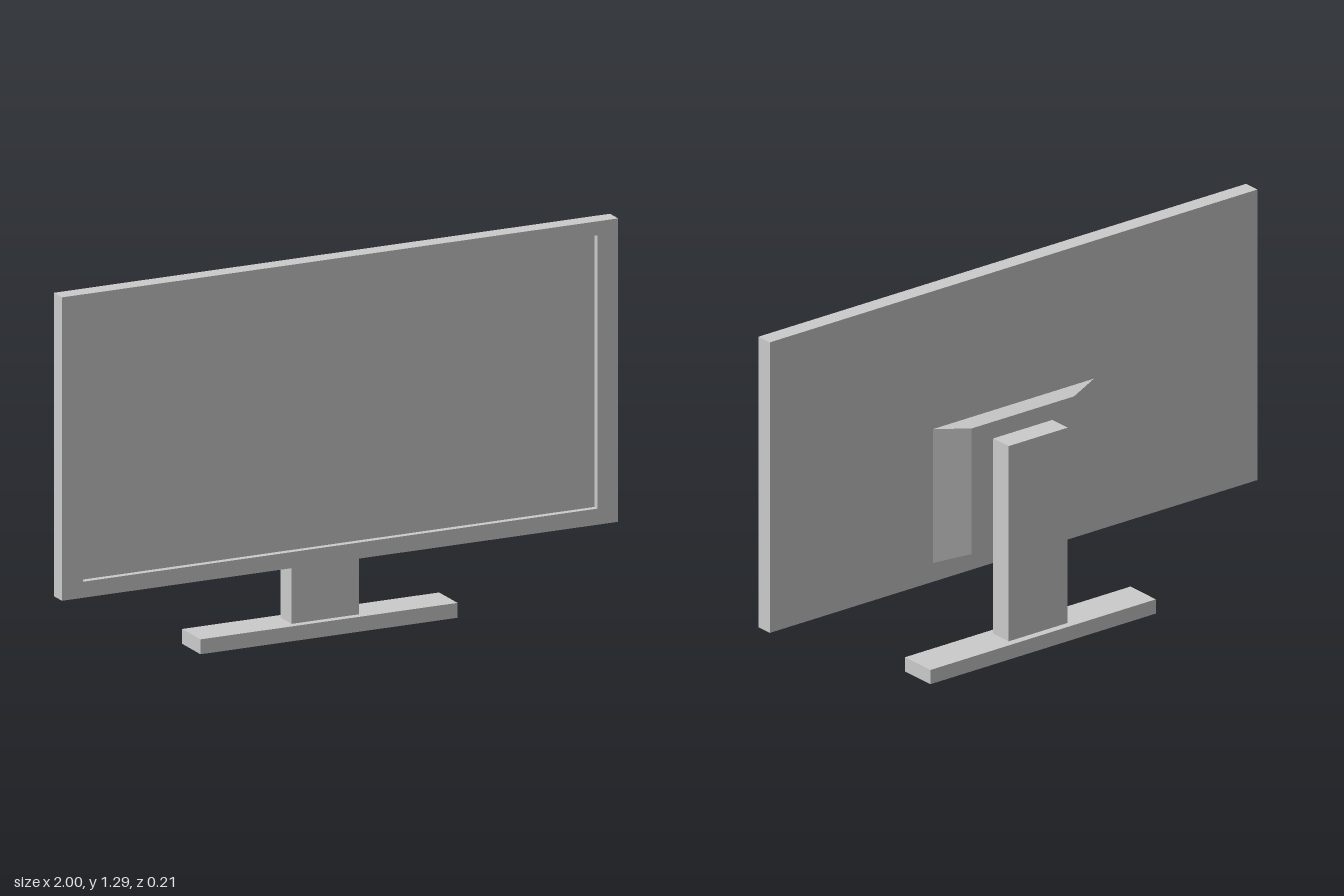
import * as THREE from 'three';

const material = new THREE.MeshStandardMaterial({ color: 0xcccccc, flatShading: true });

function addMesh(group, name, geometry) {
  const mesh = new THREE.Mesh(geometry, material);
  mesh.name = name;
  group.add(mesh);
}

// Box centred on x, given its width and its y and z ranges
function block(width, y0, y1, z0, z1) {
  return new THREE.BoxGeometry(width, y1 - y0, z1 - z0)
    .translate(0, (y0 + y1) / 2, (z0 + z1) / 2);
}

function rectangle(PathType, halfWidth, y0, y1) {
  return new PathType([
    new THREE.Vector2(-halfWidth, y0),
    new THREE.Vector2(halfWidth, y0),
    new THREE.Vector2(halfWidth, y1),
    new THREE.Vector2(-halfWidth, y1),
  ]);
}

export function createModel() {
  const model = new THREE.Group();
  model.name = 'monitor';

  const bottom = 0.272, top = 1.29;
  const back = 0.047, screenZ = 0.084, front = 0.106;

  // Panel body, whose front face is the recessed screen
  addMesh(model, 'screenPanel', block(2, bottom, top, back, screenZ));

  // Raised frame around the screen
  const frame = rectangle(THREE.Shape, 1, bottom, top);
  frame.holes.push(rectangle(THREE.Path, 0.925, 0.326, 1.243));
  const bezel = new THREE.ExtrudeGeometry(frame, { depth: front - screenZ, bevelEnabled: false });
  addMesh(model, 'bezel', bezel.translate(0, 0, screenZ));

  // Rear mount: a block narrowing towards the neck
  const mountWidth = 0.66, mountY0 = 0.338, mountY1 = 0.807;
  const mount = block(mountWidth, mountY0, mountY1, 0, back);
  const pos = mount.attributes.position;
  const midY = (mountY0 + mountY1) / 2;
  for (let i = 0; i < pos.count; i++) {
    if (pos.getZ(i) > back / 2) continue;
    pos.setX(i, Math.sign(pos.getX(i)) * 0.21);
    pos.setY(i, midY + Math.sign(pos.getY(i) - midY) * 0.22);
  }
  mount.computeVertexNormals();
  addMesh(model, 'rearMount', mount);

  // Stand
  addMesh(model, 'neck', block(0.242, 0.05, 0.734, -0.08, 0));
  addMesh(model, 'base', block(0.924, 0, 0.05, -0.106, 0.026));

  return model;
}
